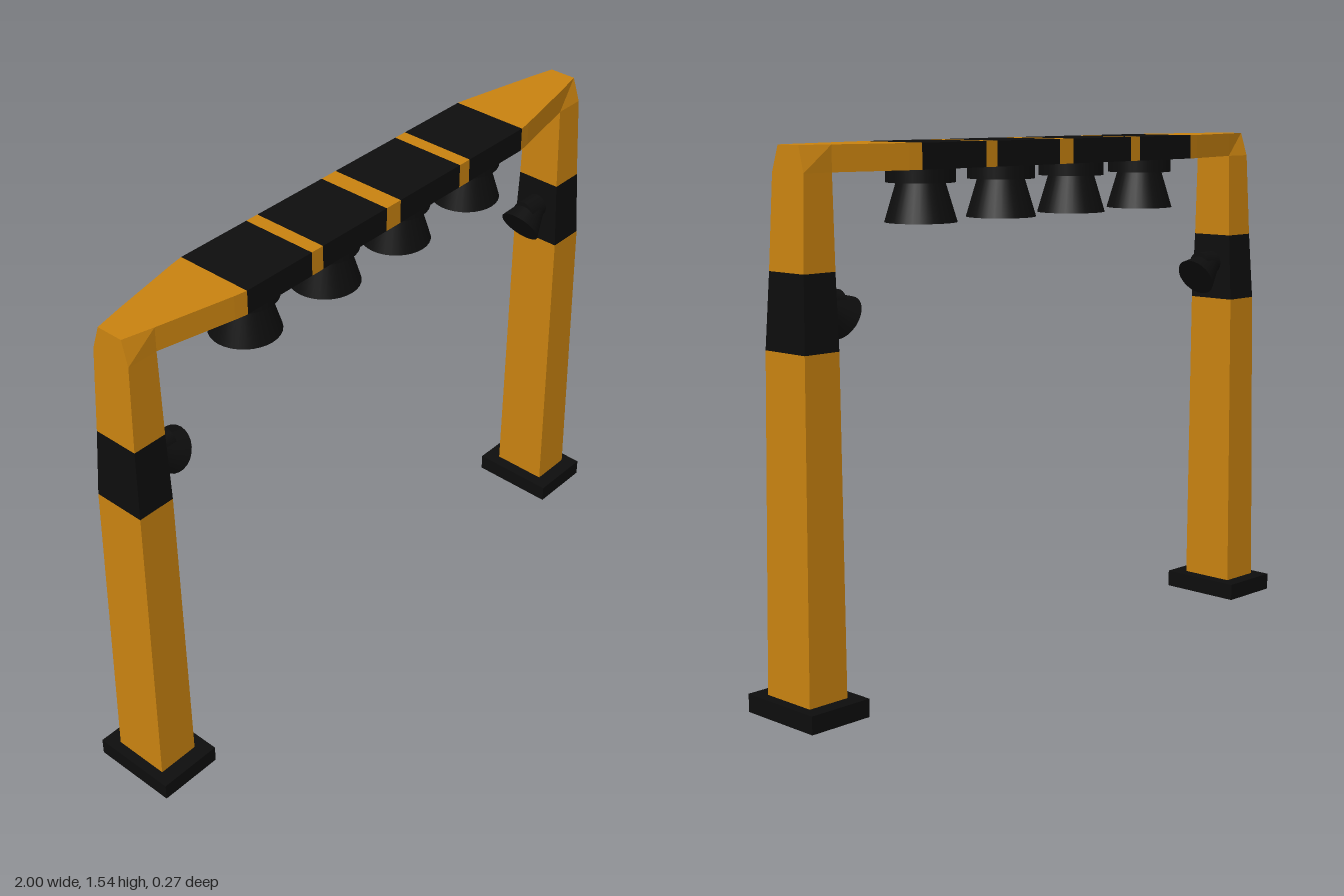
import * as THREE from 'three';

const orange = new THREE.MeshStandardMaterial({ color: 0xc88210 });
orange.name = 'orange paint';
const black = new THREE.MeshStandardMaterial({ color: 0x0d0d0d });
black.name = 'black rubber';

// Flat-faced solid through a row of four-cornered sections, closed at both ends
function loft(sections) {
  const pos = [];
  const quad = (a, b, c, d) => pos.push(...a, ...b, ...c, ...a, ...c, ...d);
  for (let s = 0; s < sections.length - 1; s++) {
    const lo = sections[s], hi = sections[s + 1];
    for (let i = 0; i < 4; i++) {
      const j = (i + 1) % 4;
      quad(lo[i], lo[j], hi[j], hi[i]);
    }
  }
  const [a, b, c, d] = sections[0];
  quad(d, c, b, a);
  quad(...sections[sections.length - 1]);
  const geo = new THREE.BufferGeometry();
  geo.setAttribute('position', new THREE.Float32BufferAttribute(pos, 3));
  geo.computeVertexNormals();
  return geo;
}

// Leg section at height y: inner and outer x, half depth at each
const legSection = (y, xi, xo, zi, zo = zi) => [[xi, y, zi], [xo, y, zo], [xo, y, -zo], [xi, y, -zi]];

const BOTTOM = 1.468, TOP = 1.54;
// Beam section at x with half depth z
const beamSection = (x, z) => [[x, BOTTOM, z], [x, BOTTOM, -z], [x, TOP, -z], [x, TOP, z]];

function add(parent, name, geo, mat) {
  const mesh = new THREE.Mesh(geo, mat);
  mesh.name = name;
  parent.add(mesh);
  return mesh;
}

// One leg with its foot, band, side lamp and the tapered arm to the beam
function makeSide() {
  const side = new THREE.Group();
  const low = legSection(1.0, 0.838, 0.955, 0.081);
  const high = legSection(1.21, 0.838, 0.945, 0.071);
  add(side, 'lowerLeg', loft([legSection(0, 0.838, 0.97, 0.089), low]), orange);
  add(side, 'legBand', loft([low, high]), black);
  add(side, 'upperLeg', loft([
    high,
    legSection(BOTTOM, 0.838, 0.933, 0.064),
    legSection(TOP, 0.838, 0.93, 0.064, 0.042),
  ]), orange);
  add(side, 'beamArm', loft([
    beamSection(0.57, 0.12), beamSection(0.61, 0.113), beamSection(0.838, 0.064),
  ]), orange);

  // Foot frame around the leg
  const foot = new THREE.Shape([[0.8, -0.135], [1, -0.135], [1, 0.135], [0.8, 0.135]]
    .map(p => new THREE.Vector2(...p)));
  foot.holes.push(new THREE.Path([[0.838, -0.088], [0.838, 0.088], [0.969, 0.088], [0.969, -0.088]]
    .map(p => new THREE.Vector2(...p))));
  const footGeo = new THREE.ExtrudeGeometry(foot, { depth: 0.052, bevelEnabled: false });
  footGeo.rotateX(-Math.PI / 2);
  add(side, 'foot', footGeo, black);

  // Side lamp: short stub and a cone aimed inward and down
  const stub = add(side, 'sideLampStub', new THREE.CylinderGeometry(0.037, 0.037, 0.08, 24), black);
  stub.rotation.z = Math.PI / 2;
  stub.position.set(0.81, 1.118, 0);
  const aim = new THREE.Vector3(-0.85, -0.53, 0).normalize();
  const cone = add(side, 'sideLampCone', new THREE.CylinderGeometry(0.066, 0.035, 0.085, 24), black);
  cone.quaternion.setFromUnitVectors(new THREE.Vector3(0, 1, 0), aim);
  cone.position.set(0.755, 1.075, 0).addScaledVector(aim, -0.0425);
  return side;
}

export function createModel() {
  const model = new THREE.Group();
  model.name = 'lightGantry';

  const left = makeSide();
  left.name = 'leftSide';
  const right = makeSide();
  right.name = 'rightSide';
  right.rotation.y = Math.PI;
  model.add(left, right);

  // Beam in alternating black and orange lengths
  const cuts = [-0.57, -0.328, -0.285, -0.029, 0.029, 0.285, 0.328, 0.57];
  for (let i = 0; i < cuts.length - 1; i++) {
    const dark = i % 2 === 0;
    add(model, dark ? 'beamSleeve' : 'beamStripe',
      loft([beamSection(cuts[i], 0.12), beamSection(cuts[i + 1], 0.12)]), dark ? black : orange);
  }

  // Hanging lamps
  for (const x of [-0.466, -0.15, 0.15, 0.466]) {
    const lamp = new THREE.Group();
    lamp.name = 'beamLamp';
    lamp.position.x = x;
    add(lamp, 'lampCollar', new THREE.CylinderGeometry(0.098, 0.098, 0.042, 32), black).position.y = 1.449;
    add(lamp, 'lampShade', new THREE.CylinderGeometry(0.068, 0.102, 0.113, 32), black).position.y = 1.3745;
    model.add(lamp);
  }
  return model;
}
